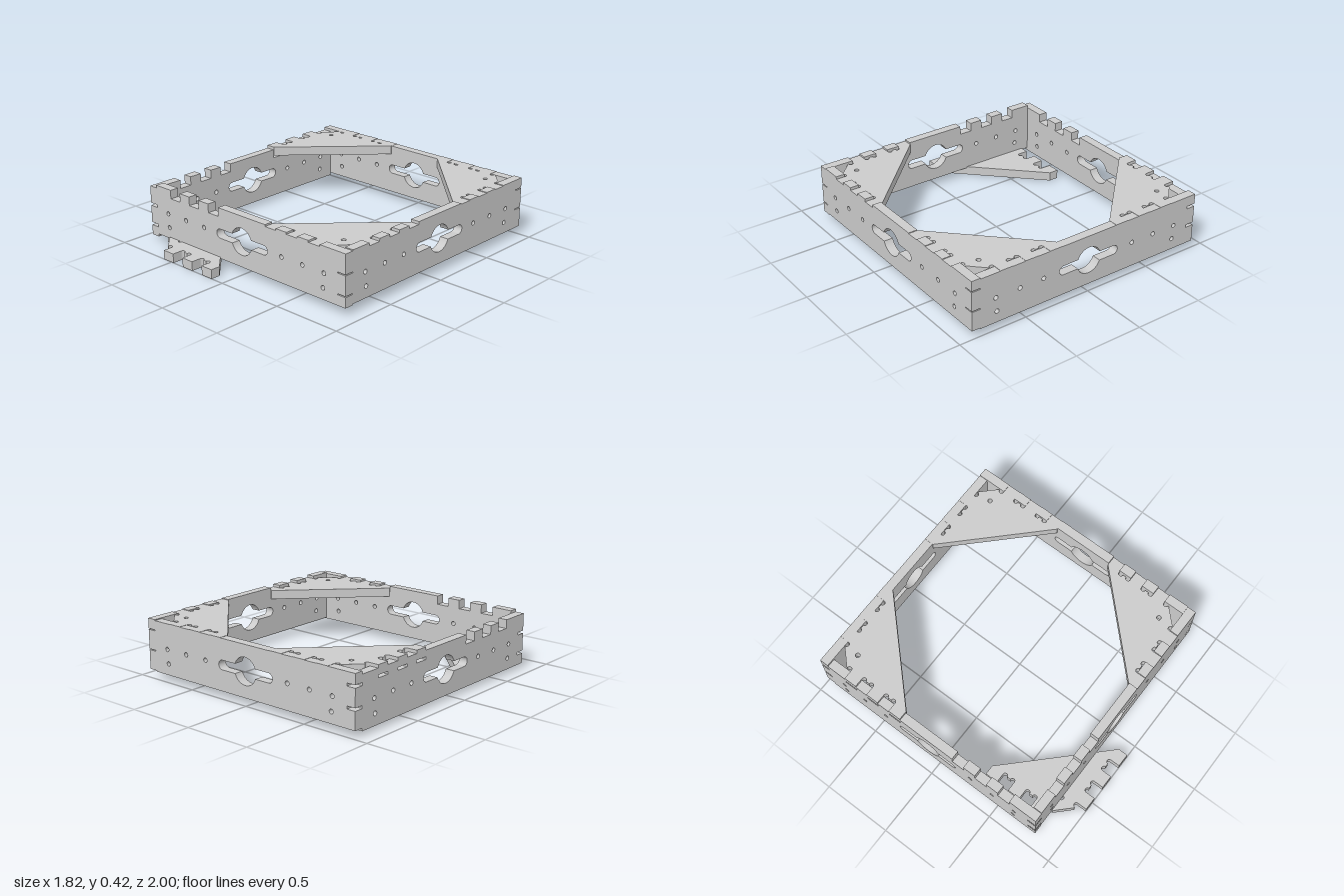
import * as THREE from 'three';

const H = 0.91;          // half the outer width of the frame
const T = 0.065;         // sheet thickness
const WALL = 0.36;       // wall height
const CZ = -0.09;        // frame centre in z
const TABS = [[0.595, 0.69], [0.405, 0.5], [0.215, 0.31]]; // plate tabs, measured from the corner
const material = new THREE.MeshStandardMaterial({ color: 0xcccccc });

function circle(x, y, r) {
  return new THREE.Path().absarc(x, y, r, 0, Math.PI * 2, false);
}

// Round opening with a slot running out to both sides
function keyhole(y) {
  const R = 0.095, r = 0.033, e = 0.205, a = Math.asin(r / R), q = Math.PI / 2;
  return new THREE.Path()
    .absarc(e, y, r, -q, q, false)
    .absarc(0, y, R, a, Math.PI - a, false)
    .absarc(-e, y, r, q, 3 * q, false)
    .absarc(0, y, R, Math.PI + a, 2 * Math.PI - a, false);
}

// Wall with interlocking fingers at the ends and notches along the top
function wallGeometry() {
  const pts = [], step = WALL / 5, deep = WALL - 0.062;
  for (let i = 0; i < 5; i++) {
    const x = i % 2 ? H - T : H;
    pts.push([x, i * step], [x, (i + 1) * step]);
  }
  const notches = [];
  for (const [a, b] of TABS) {
    notches.push([H - b, H - a], [a - H, b - H]);
  }
  notches.sort((p, q) => q[0] - p[0]);
  for (const [a, b] of notches) {
    pts.push([b, WALL], [b, deep], [a, deep], [a, WALL]);
  }
  for (let i = 4; i >= 0; i--) {
    const x = i % 2 ? -H : T - H;
    pts.push([x, (i + 1) * step], [x, i * step]);
  }
  const shape = new THREE.Shape(pts.map(([x, y]) => new THREE.Vector2(x, y)));
  shape.holes.push(keyhole(0.18));
  for (const s of [-1, 1]) {
    for (const x of [0.363, 0.546, 0.73]) shape.holes.push(circle(s * x, 0.18, 0.016));
    shape.holes.push(circle(s * 0.722, 0.08, 0.016));
  }
  const geo = new THREE.ExtrudeGeometry(shape, { depth: T, bevelEnabled: false, curveSegments: 16 });
  return geo.translate(0, 0, H - T);
}

// Triangular corner plate; its outer corner is the origin, interior towards +x, -z
function plateGeometry() {
  const r = 0.017, e = 0.07;
  const s = new THREE.Shape();
  s.moveTo(0.69, 0).lineTo(0.69, e).lineTo(e, 0.69);
  // tabs on one leg, with round relief cuts at their roots
  TABS.forEach(([a, b], i) => {
    if (i) s.absarc(e, b + r, r, Math.PI / 2, -Math.PI / 2, true);
    s.lineTo(e, b).lineTo(0, b).lineTo(0, a).lineTo(e, a);
    s.absarc(e, a - r, r, Math.PI / 2, -Math.PI / 2, true);
  });
  // cut-off corner, then the mirrored leg
  s.lineTo(e, 0.175).lineTo(0.175, e);
  [...TABS].reverse().forEach(([a, b], i) => {
    s.absarc(a - r, e, r, Math.PI, 0, true);
    s.lineTo(a, e).lineTo(a, 0).lineTo(b, 0);
    if (i < 2) {
      s.lineTo(b, e);
      s.absarc(b + r, e, r, Math.PI, 0, true);
    }
  });
  s.holes.push(circle(0.18, 0.18, 0.016));
  const geo = new THREE.ExtrudeGeometry(s, { depth: T, bevelEnabled: false, curveSegments: 10 });
  return geo.rotateX(-Math.PI / 2);
}

export function createModel() {
  const group = new THREE.Group();

  function add(name, geo, x, y, z, quarter) {
    const mesh = new THREE.Mesh(geo, material);
    mesh.name = name;
    mesh.position.set(x, y, z);
    mesh.rotation.y = quarter * Math.PI / 2;
    group.add(mesh);
  }

  // Four identical walls, turned a quarter each, at slightly different heights
  const wall = wallGeometry();
  add('frontWall', wall, 0, 0.055, CZ, 0);
  add('leftWall', wall, 0, 0.062, CZ, 1);
  add('backWall', wall, 0, 0.055, CZ, 2);
  add('rightWall', wall, 0, 0.035, CZ, 3);

  // Three fitted corner plates and one lying loose on the ground
  const plate = plateGeometry();
  add('frontLeftCornerPlate', plate, H, 0.337, CZ + H, 1);
  add('backLeftCornerPlate', plate, H, 0.352, CZ - H, 2);
  add('backRightCornerPlate', plate, -H, 0.352, CZ - H, 3);
  add('looseCornerPlate', plate, -0.79, 0, 1, 0);

  return group;
}
